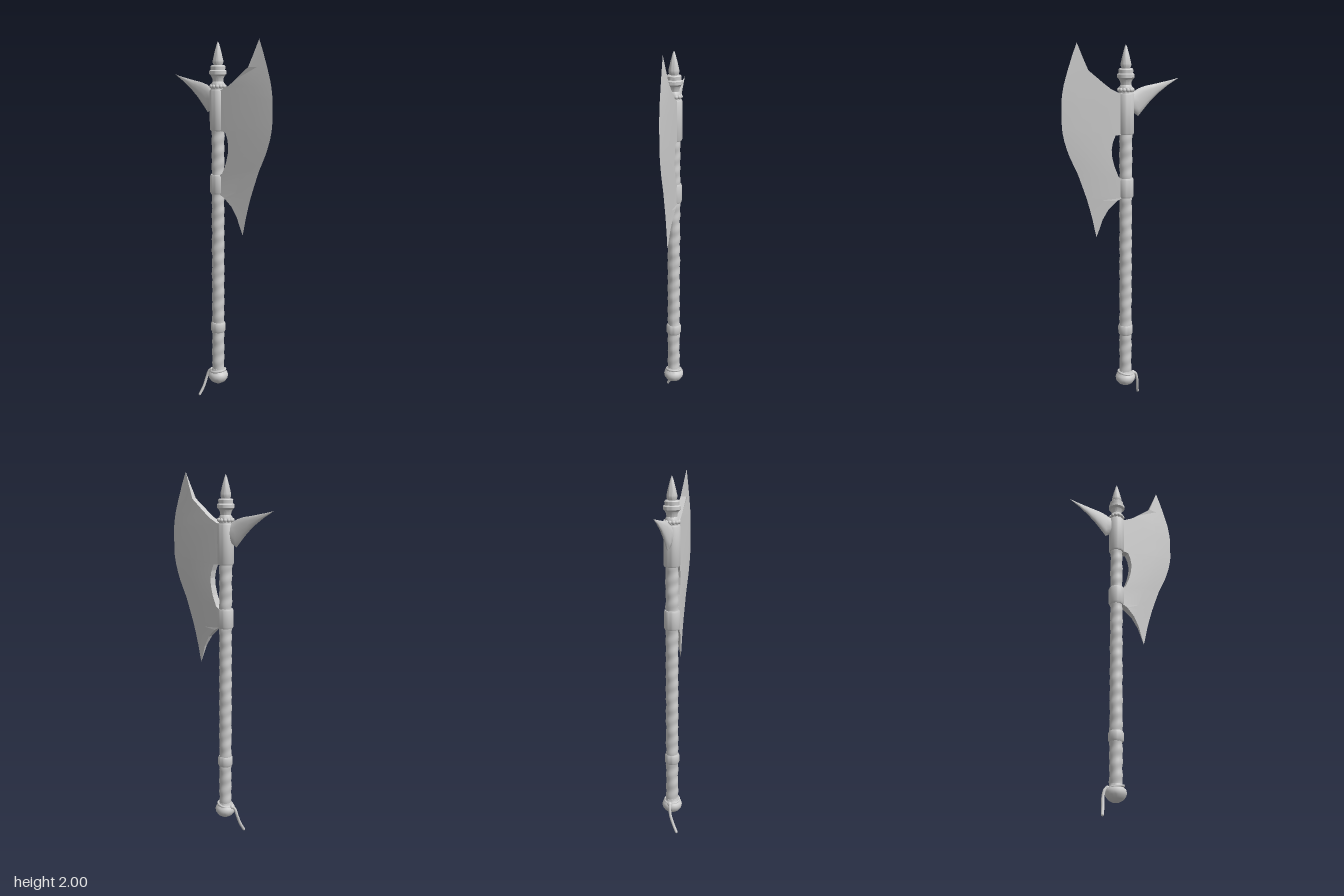
import * as THREE from 'three';
import { toCreasedNormals } from 'three/addons/utils/BufferGeometryUtils.js';

const AXIS_Z = -0.027; // the shaft sits slightly behind the middle

export function createModel() {
  const axe = new THREE.Group();
  axe.name = 'battleAxe';
  const grey = new THREE.MeshStandardMaterial({ color: 0xcccccc });
  grey.name = 'plain grey';

  function add(name, geometry, x = 0, y = 0, z = 0) {
    const mesh = new THREE.Mesh(geometry, grey);
    mesh.name = name;
    mesh.position.set(x, y, z);
    axe.add(mesh);
    return mesh;
  }

  // Turned part around the shaft axis, profile of [radius, y] from bottom to top
  function turned(name, profile, crease = 0.6) {
    const points = profile.map(([r, y]) => new THREE.Vector2(r, y));
    return add(name, toCreasedNormals(new THREE.LatheGeometry(points, 32), crease), 0, 0, AXIS_Z);
  }

  // Skin over a list of equally sized closed rings
  function loft(rings, crease) {
    const n = rings[0].length, index = [];
    for (let i = 0; i < rings.length - 1; i++) {
      for (let j = 0; j < n; j++) {
        const a = i * n + j, d = i * n + (j + 1) % n;
        index.push(a, d, d + n, a, d + n, a + n);
      }
    }
    const geometry = new THREE.BufferGeometry();
    geometry.setAttribute('position', new THREE.Float32BufferAttribute(rings.flat(2), 3));
    geometry.setIndex(index);
    return toCreasedNormals(geometry, crease);
  }

  // Shaft with an uneven spiral leather wrap
  const wrap = new THREE.CylinderGeometry(0.034, 0.034, 1.62, 24, 160, true);
  const p = wrap.attributes.position;
  for (let i = 0; i < p.count; i++) {
    const y = p.getY(i), a = Math.atan2(p.getZ(i), p.getX(i));
    const k = 1 + 0.045 * Math.sin(y * 95 + a) + 0.025 * Math.sin(y * 41 - 2 * a);
    p.setX(i, p.getX(i) * k);
    p.setZ(i, p.getZ(i) * k);
  }
  wrap.computeVertexNormals();
  add('wrappedShaft', wrap, 0, 0.96, AXIS_Z);

  // Pommel, grip ring and the two blade sockets
  turned('pommel', [[0, 0.088], [0.02, 0.09], [0.04, 0.102], [0.053, 0.12], [0.056, 0.136],
    [0.052, 0.151], [0.041, 0.161], [0.036, 0.17], [0.035, 0.178], [0, 0.178]]);
  turned('gripRing', [[0.03, 0.398], [0.036, 0.398], [0.041, 0.408], [0.041, 0.445],
    [0.036, 0.455], [0.03, 0.455]]);
  turned('lowerSocket', [[0.03, 1.187], [0.039, 1.187], [0.043, 1.197], [0.043, 1.282],
    [0.039, 1.292], [0.03, 1.292]]);
  turned('upperSocket', [[0.03, 1.527], [0.04, 1.527], [0.044, 1.535], [0.044, 1.735],
    [0.04, 1.743], [0, 1.743]]);

  // Neck, collar and pointed finial
  turned('neck', [[0.036, 1.74], [0.036, 1.772], [0.028, 1.785], [0.03, 1.8], [0.036, 1.812],
    [0, 1.812]]);
  turned('collar', [[0, 1.81], [0.036, 1.812], [0.046, 1.822], [0.046, 1.838], [0.038, 1.844],
    [0.039, 1.862], [0.034, 1.868], [0, 1.87]]);
  turned('finial', [[0.022, 1.866], [0.028, 1.882], [0.028, 1.892], [0.018, 1.935],
    [0.007, 1.975], [0, 1.99]]);

  // Ring of small beads above the upper socket
  const bead = new THREE.SphereGeometry(0.011, 10, 8);
  for (let i = 0; i < 12; i++) {
    const a = (i / 12) * Math.PI * 2;
    add('bead', bead, 0.036 * Math.sin(a), 1.759, AXIS_Z + 0.036 * Math.cos(a));
  }

  // Blade rows from top tip to bottom tip: inner z, inner y, outer z, outer y
  const bladeRows = [
    [0.233, 2.0, 0.233, 2.0], [0.206, 1.93, 0.258, 1.935], [0.178, 1.862, 0.283, 1.86],
    [0.1, 1.797, 0.304, 1.79], [0.06, 1.766, 0.311, 1.755], [0.015, 1.743, 0.316, 1.72],
    [0, 1.74, 0.318, 1.7], [0, 1.528, 0.318, 1.57], [0.036, 1.524, 0.314, 1.54],
    [0.05, 1.49, 0.306, 1.5], [0.057, 1.45, 0.294, 1.46], [0.054, 1.41, 0.28, 1.42],
    [0.042, 1.36, 0.262, 1.38], [0.02, 1.305, 0.241, 1.335], [0, 1.288, 0.233, 1.315],
    [0, 1.188, 0.2, 1.22], [0.03, 1.172, 0.19, 1.19], [0.074, 1.128, 0.173, 1.13],
    [0.106, 1.07, 0.158, 1.07], [0.122, 1.02, 0.147, 1.015], [0.138, 0.975, 0.138, 0.975],
  ];
  const blade = bladeRows.map(([zi, yi, zo, yo]) => {
    const width = zo - zi;
    const bevel = Math.min(0.1, width * 0.55);
    const s = 1 - bevel / (width || 1);
    const zr = zi + width * s, yr = yi + (yo - yi) * s; // ridge where the bevel starts
    const hi = Math.min(0.024 - 0.045 * zi, width * 0.16), hr = Math.min(0.0145, bevel * 0.15);
    return [[hi, yi, zi], [hr, yr, zr], [0, yo, zo], [-hr, yr, zr], [-hi, yi, zi]];
  });
  add('blade', loft(blade, 0.12));

  // Curved back spike rows: top z, top y, bottom z, bottom y, half width
  const spikeRows = [
    [-0.03, 1.74, -0.03, 1.66, 0.022], [-0.07, 1.75, -0.07, 1.637, 0.02],
    [-0.1, 1.766, -0.095, 1.62, 0.016], [-0.138, 1.778, -0.125, 1.655, 0.0135],
    [-0.18, 1.785, -0.16, 1.695, 0.011], [-0.225, 1.794, -0.205, 1.737, 0.008],
    [-0.27, 1.803, -0.26, 1.778, 0.005], [-0.32, 1.815, -0.32, 1.815, 0],
  ];
  const spike = spikeRows.map(([zt, yt, zb, yb, w]) => Array.from({ length: 12 }, (_, j) => {
    const a = (j / 12) * Math.PI * 2, t = (1 + Math.sin(a)) / 2;
    return [w * Math.cos(a), yt + (yb - yt) * t, zt + (zb - zt) * t];
  }));
  add('backSpike', loft(spike, 0.9));

  // Cord looped around the pommel neck with a hanging end
  const loop = add('cordLoop', new THREE.TorusGeometry(0.04, 0.007, 8, 28), 0, 0.163, AXIS_Z);
  loop.rotation.x = Math.PI / 2 - 0.2;
  add('cordKnot', new THREE.SphereGeometry(0.013, 12, 8), 0, 0.155, -0.073);
  const path = new THREE.CatmullRomCurve3([[0, 0.16, -0.068], [-0.005, 0.147, -0.088],
    [-0.012, 0.105, -0.101], [-0.03, 0.055, -0.108], [-0.054, 0.01, -0.119]]
    .map((v) => new THREE.Vector3(...v)));
  add('cordEnd', new THREE.TubeGeometry(path, 20, 0.008, 8));
  const tip = add('cordTip', new THREE.SphereGeometry(0.008, 8, 6));
  tip.position.copy(path.getPoint(1));

  return axe;
}
